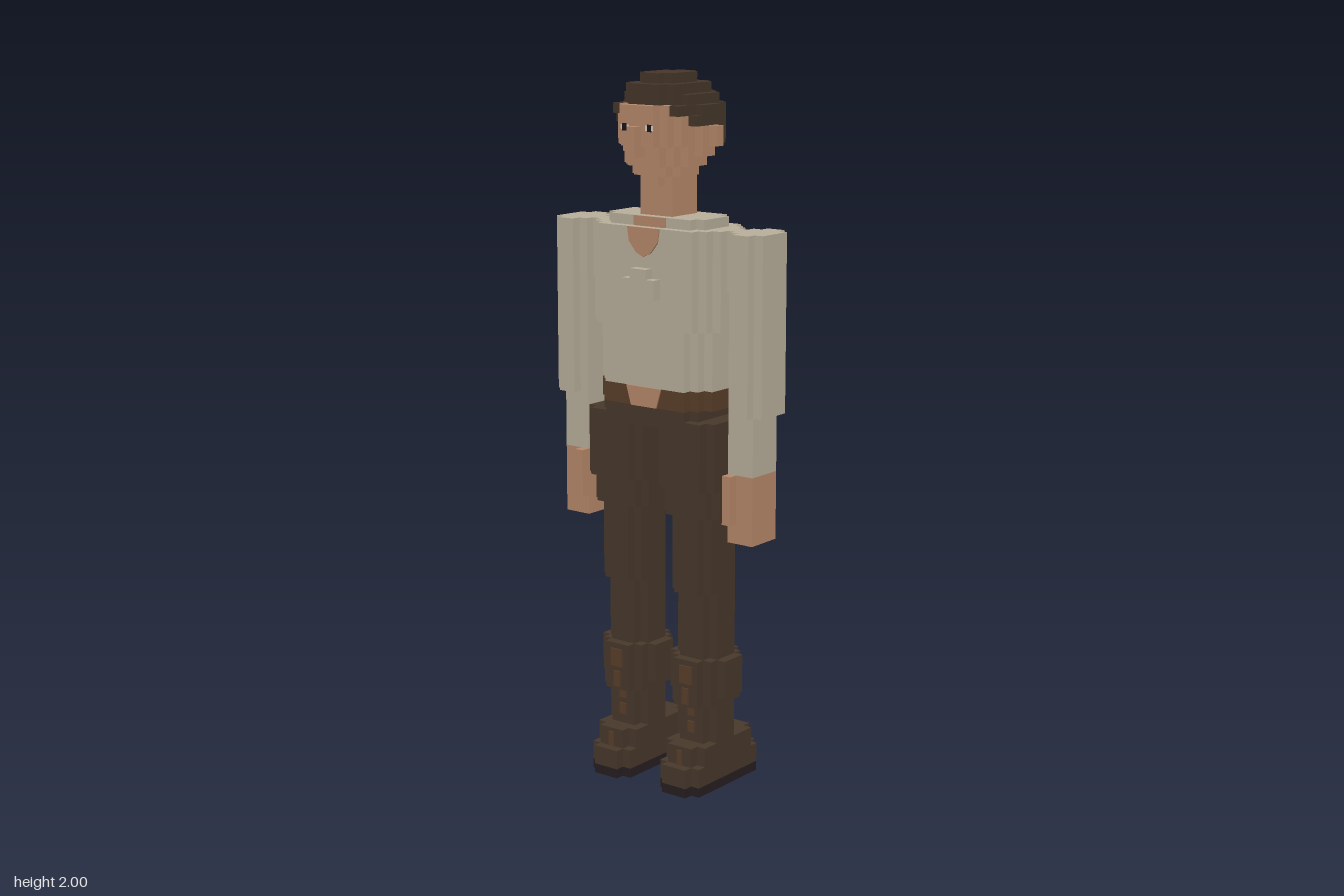
import * as THREE from 'three';
import { mergeGeometries } from 'three/addons/utils/BufferGeometryUtils.js';

const V = 2 / 73; // edge of one block; all sizes below are in blocks

const material = (name, color) => {
  const m = new THREE.MeshStandardMaterial({ color });
  m.name = name;
  return m;
};

// Box from its limits [x0, x1, y0, y1, z0, z1]
function box([x0, x1, y0, y1, z0, z1]) {
  const g = new THREE.BoxGeometry((x1 - x0) * V, (y1 - y0) * V, (z1 - z0) * V);
  return g.translate((x0 + x1) / 2 * V, (y0 + y1) / 2 * V, (z0 + z1) / 2 * V);
}

// Layer with stepped corners, as a list of boxes
function slab(cx, hx, y0, y1, zb, zf, steps = 2) {
  const out = [];
  for (let i = 0; i < steps; i++) {
    const k = steps - 1 - i;
    out.push([cx - hx + i, cx + hx - i, y0, y1, zb + k, zf - k]);
  }
  return out;
}

const mirrored = (boxes) => boxes.flatMap((b) => [b, [-b[1], -b[0], ...b.slice(2)]]);

export function createModel() {
  const model = new THREE.Group();
  model.name = 'figure';
  const skin = material('skin', 0xb98a6c);
  const shirt = material('shirt', 0xbbb09d);
  const trousers = material('trousers', 0x49392c);
  const hair = material('hair', 0x46372a);
  const belt = material('belt', 0x5b3f29);
  const sole = material('sole', 0x271f21);
  const eyeWhite = material('eyeWhite', 0xd8d0c4);
  const eyeDark = material('eyeDark', 0x1c1614);

  function part(name, mat, boxes, parent = model) {
    const mesh = new THREE.Mesh(mergeGeometries(boxes.map(box)), mat);
    mesh.name = name;
    parent.add(mesh);
    return mesh;
  }
  // Thin painted plate facing +z
  function plate(name, mat, points, z) {
    const shape = new THREE.Shape(points.map(([x, y]) => new THREE.Vector2(x * V, y * V)));
    const g = new THREE.ExtrudeGeometry(shape, { depth: 0.004, bevelEnabled: false });
    const mesh = new THREE.Mesh(g.translate(0, 0, z * V), mat);
    mesh.name = name;
    model.add(mesh);
  }

  // Head and neck
  part('neck', skin, [[-2, 2, 58, 64, -1.5, 2.5]]);
  part('head', skin, [
    ...slab(0, 2, 62, 63, -1.5, 3.5),
    ...slab(0, 3, 63, 64, -1.5, 3.5),
    ...slab(0, 4, 64, 65, -2.5, 4.5, 3),
    ...slab(0, 4, 65, 66, -3.5, 4.5, 3),
    ...slab(0, 4, 66, 70, -3.5, 5.5, 3),
  ]);
  part('nose', skin, [[-0.5, 0.5, 65, 68, 5, 6.5]]);
  part('ears', skin, mirrored([[3, 5, 65, 68, -0.5, 1.5], [4, 6, 66, 68, -0.5, 0.5]]));

  // Hair: cap, back and temples
  part('hair', hair, [
    ...slab(0, 2, 72, 73, -2.5, 3.5),
    ...slab(0, 3, 71, 72, -3.5, 4.5),
    ...slab(0, 4, 70, 71, -4.5, 4.5, 3),
    [-3, 3, 66, 70, -4.5, -2],
    [-4.05, 4.05, 66, 70, -3.5, -0.6],
    ...mirrored([
      [3.5, 4.1, 68, 70, -1, 1.5],
      [4, 5, 68, 70, -1.5, 1.5],
      [3, 4.1, 69, 70, 1.5, 4.2],
      [4, 5, 68, 69, 1.5, 2.5],
    ]),
  ]);

  // Eyes
  part('eyeWhites', eyeWhite, mirrored([[1.0, 1.4, 67.6, 68.1, 5.4, 5.55], [1.8, 2, 67.6, 68.1, 5.4, 5.55]]));
  part('pupils', eyeDark, mirrored([[1.3, 1.8, 67.5, 68.2, 5.4, 5.6]]));

  // Shirt body with raised patch on chest and back
  part('shirtBody', shirt, [
    ...slab(0, 6, 58, 59, -2.5, 3.5),
    ...slab(0, 8, 48, 58, -3.5, 4.5, 3),
    ...slab(0, 7, 42, 48, -3.5, 4.5, 3),
    ...mirrored([[7, 9.5, 52, 58, -0.5, 1.5]]),
  ]);
  for (const [name, z0, z1] of [['chestPatch', 4, 5.5], ['backPatch', -4.5, -3]]) {
    part(name, shirt, [[-2, 2, 51, 53, z0, z1], [-1, 1, 53, 54, z0, z1]]);
  }
  plate('openCollar', skin, [[-2, 58], [-1.8, 56.6], [-0.9, 55.5], [0, 55.1], [0.9, 55.5], [1.8, 56.6], [2, 58]], 4.5);
  plate('collarTop', skin, [[-2, 58], [2, 58], [2, 59], [-2, 59]], 3.5);

  // Waist
  part('belt', belt, slab(0, 7, 40, 42, -3.5, 4.5, 3));
  part('hips', trousers, slab(0, 6, 38, 40, -3.5, 4.5));
  plate('bellySkin', skin, [[-1.6, 40], [1.6, 40], [2.2, 42], [-2.2, 42]], 4.5);

  // Arms and hands
  part('sleeves', shirt, mirrored([
    [9, 13, 40, 58, -1.5, 2.5],
    [9, 12, 34, 40, -1.5, 2.5],
    [10, 12, 40, 58, -2.5, 3.5],
  ]));
  part('hands', skin, mirrored([
    [10, 12, 27, 34, -1.5, 2.5],
    [9, 10, 27, 34, -0.5, 2.5],
    [9, 10, 29, 34, 2.5, 3.5],
  ]));

  // Trousers
  part('trouserLegs', trousers, mirrored([
    ...slab(4.5, 3.5, 32, 39, -3.5, 4.5),
    ...slab(4.5, 3.5, 29, 32, -2.5, 3.5),
    ...slab(4.5, 2.5, 21, 29, -2.5, 3.5),
    ...slab(4.5, 2.5, 13, 21, -2.5, 2.5),
  ]));

  // Boots: cuff, shaft, foot and sole
  part('boots', trousers, mirrored([
    ...slab(4.5, 3.5, 10, 14, -2.5, 2.5),
    ...slab(4.5, 2.5, 9, 14, -3.5, 3.5),
    ...slab(4.5, 2.5, 5, 10, -2.5, 2.5),
    ...slab(4.5, 2.5, 3, 5, -5.5, 4.5),
    ...slab(4.5, 2.5, 1, 3, -6.5, 5.5),
  ]));
  part('soles', sole, mirrored(slab(4.5, 2.5, 0, 1, -6.5, 5.5)));
  part('bootStraps', belt, mirrored([
    [3.8, 5.3, 11.5, 13.4, 3.4, 3.65],
    [4.1, 4.9, 9.3, 11, 3.4, 3.65],
    [4.1, 4.9, 6, 7.2, 2.4, 2.65],
    [4.1, 4.9, 7.8, 8.8, 2.4, 2.65],
    [4.2, 4.8, 3, 4.6, 4.4, 4.65],
  ]));
  return model;
}
